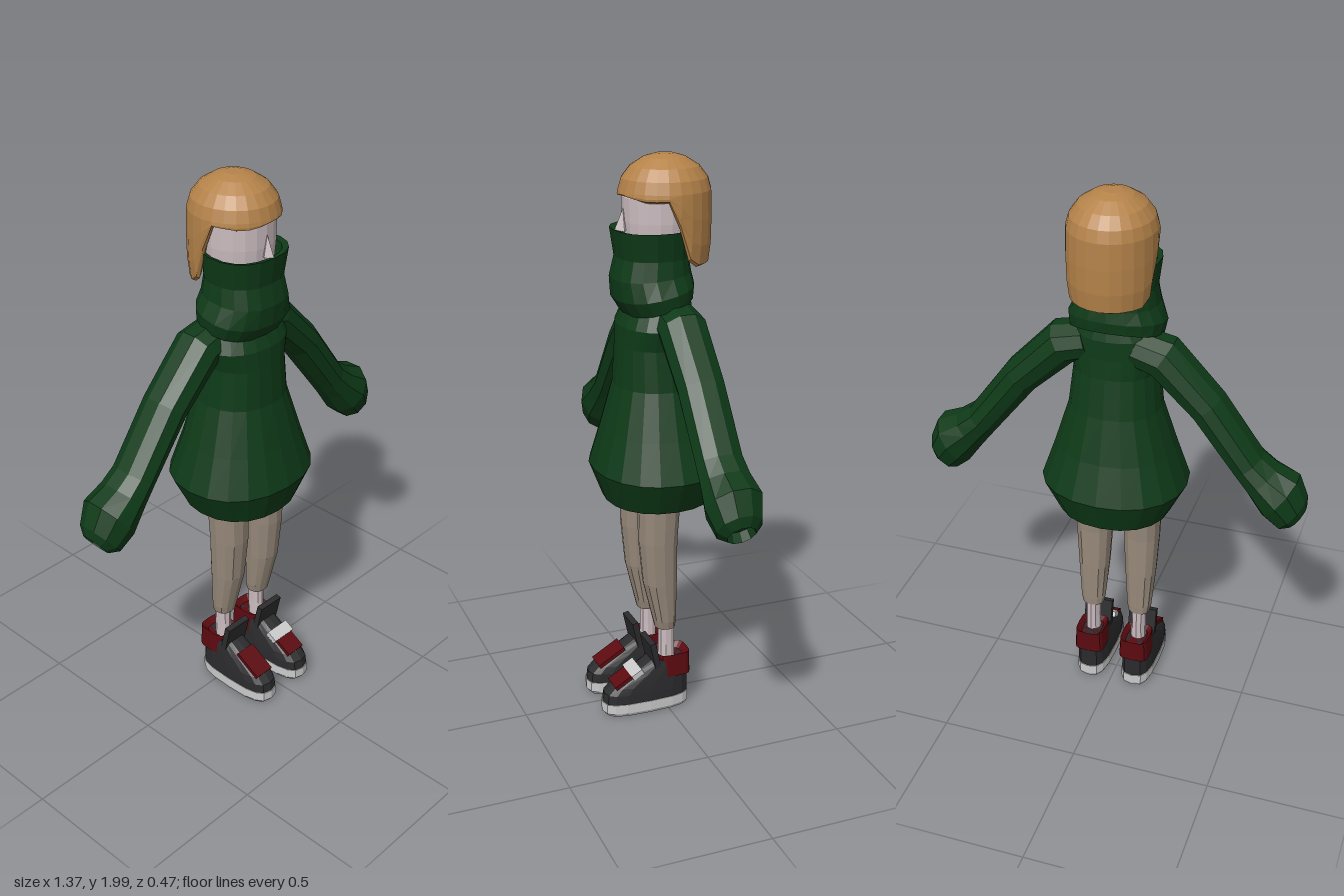
import * as THREE from 'three';

const mat = (color) => new THREE.MeshStandardMaterial({ color, flatShading: true, side: THREE.DoubleSide });
const GREEN = mat(0x0e3a18), HAIR = mat(0xb5834a), TROUSER = mat(0x97897a), SKIN = mat(0xcbbcc0);
const RED = mat(0x5c0a10), BLACK = mat(0x2b2b2d), WHITE = mat(0xdcdcdc);

// Superellipse ring around centre [x, y, z], facing the in-plane direction [dx, dy]
function ring([cx, cy, cz], [dx, dy], r, rz, n = 16, power = 2, tilt = 0) {
  const l = Math.hypot(dx, dy), pts = [];
  const bend = (v) => Math.sign(v) * Math.abs(v) ** (2 / power);
  for (let i = 0; i < n; i++) {
    const a = (i / n) * Math.PI * 2, s = bend(Math.sin(a)) * r, z = bend(Math.cos(a)) * rz;
    pts.push(new THREE.Vector3(cx + (dy / l) * s, cy - (dx / l) * s + tilt * z, cz + z));
  }
  return pts;
}

// Upright ring given by its front and back z
const level = (y, x, r, back, front, n, power, tilt) =>
  ring([x, y, (front + back) / 2], [0, 1], r, (front - back) / 2, n, power, tilt);

// Skin through a list of rings, with optional end caps
function loft(name, material, rings, capStart = true, capEnd = true) {
  const n = rings[0].length, idx = [], pts = rings.flat();
  for (let i = 0; i < rings.length - 1; i++)
    for (let j = 0; j < n; j++) {
      const k = (j + 1) % n, a = i * n + j, b = i * n + k;
      idx.push(a, b, b + n, a, b + n, a + n);
    }
  const cap = (r, start, flip) => {
    const c = pts.length;
    pts.push(r.reduce((s, p) => s.add(p), new THREE.Vector3()).divideScalar(n));
    for (let j = 0; j < n; j++) {
      const a = start + j, b = start + ((j + 1) % n);
      idx.push(c, flip ? b : a, flip ? a : b);
    }
  };
  if (capStart) cap(rings[0], 0, true);
  if (capEnd) cap(rings[rings.length - 1], (rings.length - 1) * n, false);
  const g = new THREE.BufferGeometry().setFromPoints(pts);
  g.setIndex(idx);
  g.computeVertexNormals();
  const mesh = new THREE.Mesh(g, material);
  mesh.name = name;
  return mesh;
}

function makeSweater() {
  const g = new THREE.Group();
  g.name = 'sweater';
  // Flared body with a gathered hem turned inwards
  g.add(loft('sweaterBody', GREEN, [
    [0.86, 0.17, -0.16, 0.15], [0.8, 0.2, -0.19, 0.18], [0.92, 0.26, -0.235, 0.225],
    [1.06, 0.212, -0.19, 0.185], [1.22, 0.162, -0.15, 0.143], [1.36, 0.147, -0.125, 0.135],
    [1.43, 0.165, -0.12, 0.13], [1.5, 0.14, -0.12, 0.1], [1.54, 0.11, -0.11, 0.07],
  ].map(([y, r, b, f]) => level(y, 0, r, b, f, 20, 2.2))));
  // Tall loose collar, lower at the front, folded in at the top
  g.add(loft('collar', GREEN, [
    [1.5, 0.12, -0.1, 0.08, -0.28], [1.5, 0.16, -0.12, 0.11, -0.28], [1.545, 0.167, -0.125, 0.142, -0.2],
    [1.6, 0.142, -0.118, 0.15, -0.08], [1.66, 0.132, -0.11, 0.133, 0], [1.755, 0.143, -0.115, 0.147, 0],
    [1.75, 0.126, -0.1, 0.125, 0], [1.68, 0.115, -0.1, 0.11, 0],
  ].map(([y, r, b, f, t]) => level(y, -0.002, r, b, f, 18, 2.3, t)), false, false));
  // Sleeves widening to a closed cuff
  for (const s of [1, -1]) {
    g.add(loft(s > 0 ? 'leftSleeve' : 'rightSleeve', GREEN, [
      [0.08, 1.46, 1, -0.4, 0.07, 0.08], [0.175, 1.435, 1, -0.6, 0.078, 0.085],
      [0.33, 1.28, 1, -1.2, 0.068, 0.083], [0.48, 1.08, 1, -1.25, 0.063, 0.083],
      [0.53, 1.03, 1, -1, 0.073, 0.088], [0.597, 0.972, 1, -0.75, 0.098, 0.1],
      [0.64, 0.91, 1, -0.8, 0.078, 0.08], [0.66, 0.893, 1, -0.75, 0.048, 0.05],
      [0.64, 0.918, 1, -0.75, 0.04, 0.042],
    ].map(([x, y, dx, dy, r, rz]) => ring([s * x, y, -0.033], [s * dx, dy], r, rz, 10))));
  }
  return g;
}

function makeHead() {
  const g = new THREE.Group();
  g.name = 'head';
  g.add(loft('face', SKIN, [[1.6, 0.1], [1.7, 0.117], [1.78, 0.124], [1.86, 0.125], [1.91, 0.1], [1.94, 0.05]]
    .map(([y, r]) => level(y, 0, r, -0.015 - r, -0.015 + r, 20))));
  const nose = new THREE.Mesh(new THREE.ConeGeometry(0.02, 0.075, 4), SKIN);
  nose.name = 'nose';
  nose.scale.set(0.75, 1, 1.6);
  nose.position.set(0, 1.787, 0.112);
  g.add(nose);

  // Bobbed hair: short fringe in front, long at the back
  const N = 24;
  const hairRing = (scale, height) => Array.from({ length: N }, (_, i) => {
    const a = (i / N) * Math.PI * 2, away = Math.min(a, Math.PI * 2 - a);
    const drop = THREE.MathUtils.smoothstep(away, 1.25, 1.98);
    const low = 1.858 - 0.225 * drop + 0.008 * (1 - drop) * Math.sin(a * 4 + 1);
    const k = typeof scale === 'function' ? scale(drop) : scale;
    return new THREE.Vector3(0.002 + 0.15 * k * Math.sin(a), height(low), -0.035 + 0.158 * k * Math.cos(a));
  });
  const rings = [
    hairRing(0.8, (l) => l + 0.025), hairRing((d) => 0.9 - 0.04 * d, (l) => l),
    hairRing((d) => 0.97 - 0.02 * d, (l) => l + 0.008),
    hairRing(1, (l) => l + (1.875 - l) * 0.3), hairRing(1.01, (l) => l + (1.875 - l) * 0.65),
  ];
  for (const t of [0.05, 0.25, 0.47, 0.7, 0.87])
    rings.push(hairRing(Math.cos(t * Math.PI / 2), () => 1.87 + 0.13 * Math.sin(t * Math.PI / 2)));
  g.add(loft('hair', HAIR, rings, false, true));
  return g;
}

function makeLeg(s) {
  const g = new THREE.Group(), x = s * 0.09;
  g.name = s > 0 ? 'leftLeg' : 'rightLeg';
  g.add(loft('trouserLeg', TROUSER, [
    [0.32, 0.04, -0.04, 0.033], [0.35, 0.046, -0.042, 0.04], [0.5, 0.057, -0.045, 0.077],
    [0.66, 0.066, -0.045, 0.092], [0.88, 0.074, -0.06, 0.095],
  ].map(([y, r, b, f]) => level(y, x, r, b, f, 12, 2.3))));
  g.add(loft('ankle', SKIN, [[0.15, 0.03], [0.26, 0.027], [0.34, 0.028]]
    .map(([y, r]) => level(y, x, r, -0.04, 0.022, 10))));
  return g;
}

function makeShoe(s) {
  const g = new THREE.Group(), x = s * 0.088;
  g.name = s > 0 ? 'leftShoe' : 'rightShoe';
  const stack = (name, material, rows, power = 3) =>
    g.add(loft(name, material, rows.map(([y, r, b, f]) => level(y, x, r, b, f, 16, power))));
  stack('sole', WHITE, [[0.008, 0.057, -0.085, 0.228], [0.02, 0.063, -0.09, 0.238], [0.056, 0.063, -0.09, 0.238]]);
  stack('upper', BLACK, [[0.054, 0.061, -0.087, 0.235], [0.09, 0.06, -0.087, 0.23], [0.115, 0.058, -0.087, 0.205],
    [0.155, 0.054, -0.087, 0.135], [0.2, 0.049, -0.087, 0.06]]);
  stack('ankleCollar', RED, [[0.135, 0.057, -0.091, 0.025], [0.22, 0.053, -0.091, 0.03], [0.2, 0.036, -0.07, 0.02]], 4);

  // Slabs lying on the sloping instep
  const slab = (name, material, size, y, z, tilt) => {
    const m = new THREE.Mesh(new THREE.BoxGeometry(...size), material);
    m.name = name;
    m.position.set(x, y, z);
    m.rotation.x = tilt;
    g.add(m);
  };
  slab('toePanel', RED, [0.078, 0.014, 0.115], 0.145, 0.148, 0.53);
  if (s > 0) slab('instepStrap', WHITE, [0.1, 0.02, 0.045], 0.163, 0.117, 0.53);
  slab('tongue', BLACK, [0.106, 0.1, 0.022], 0.228, 0.05, 0.22);
  return g;
}

export function createModel() {
  const model = new THREE.Group();
  model.name = 'figure';
  model.add(makeSweater(), makeHead());
  for (const s of [1, -1]) model.add(makeLeg(s), makeShoe(s));
  return model;
}
